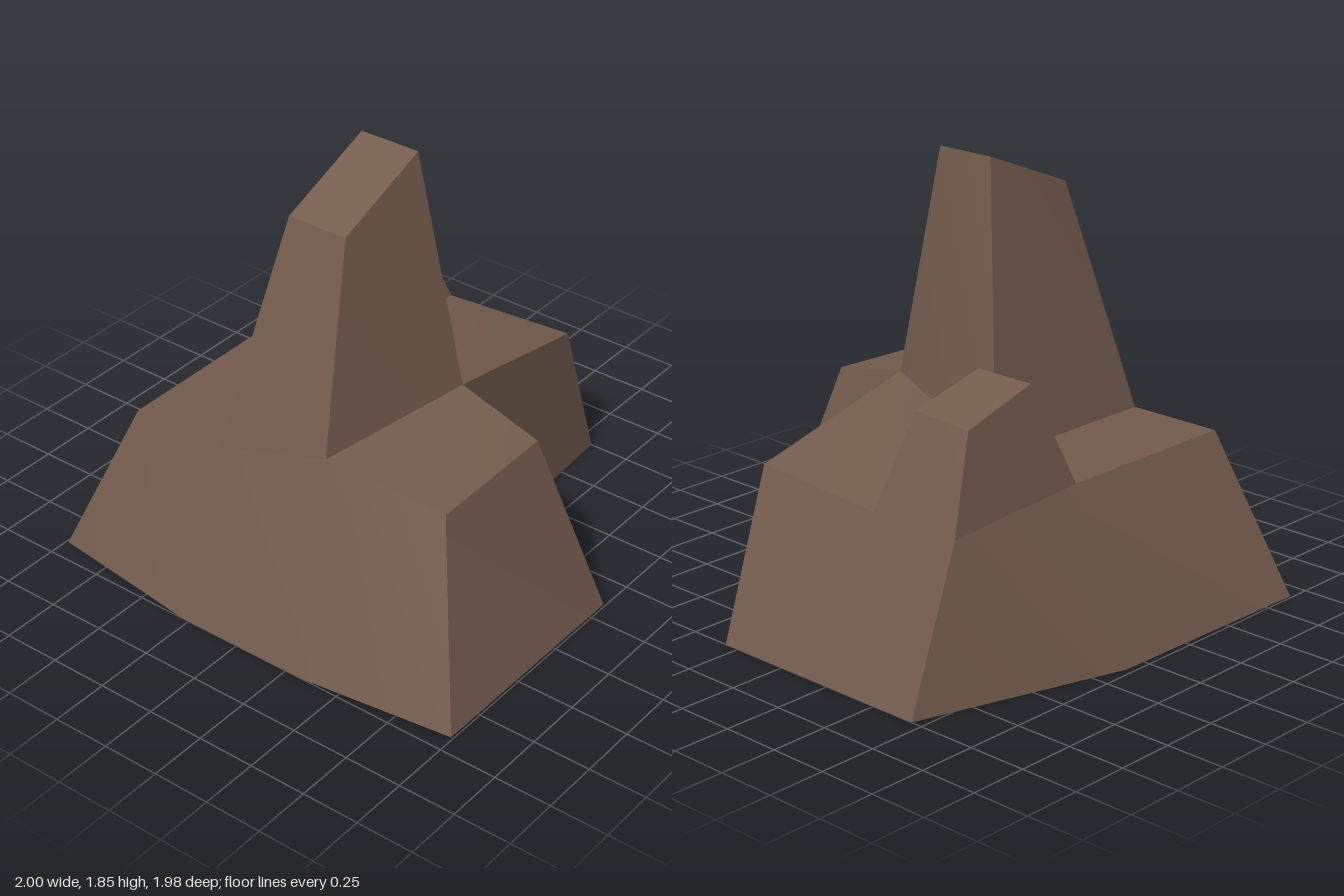
import * as THREE from 'three';
import { toCreasedNormals } from 'three/addons/utils/BufferGeometryUtils.js';

const rock = new THREE.MeshStandardMaterial({ color: 0x745c4e, side: THREE.DoubleSide });
rock.name = 'brown rock';

// Foot of the cliffs, counter-clockwise from the front left corner
const foot = [
  [-0.92, 0, 0.99], [0.10, 0, 0.99], [0.12, 0, 0.37], [1, 0, 0.32], [1, 0, -0.70],
  [0.10, 0, -0.97], [-0.91, 0, -0.99], [-1, 0, -0.28], [-1, 0, 0.33],
];
// Rim of the cliffs, one point above each foot point
const rim = [
  [-0.66, 0.775, 0.76], [-0.07, 0.79, 0.76], [-0.03, 0.87, 0.37], [0.77, 0.69, 0.325], [0.77, 0.65, -0.70],
  [0.10, 0.69, -0.70], [-0.75, 0.69, -0.70], [-0.75, 0.69, -0.28], [-0.735, 0.85, 0.25],
];
const [frontLeft, frontRight, inner, rightFront, rightBack, backMid, backLeft, leftBack, leftFront] = rim;
const middle = [0.10, 0.69, -0.28];
const rightMid = [0.77, 0.65, -0.28];

// Mesh from polygons, each split as a fan from its first corner
function facets(name, polygons) {
  const points = [];
  for (const p of polygons) {
    for (let i = 1; i < p.length - 1; i++) points.push(...p[0], ...p[i], ...p[i + 1]);
  }
  const geometry = new THREE.BufferGeometry();
  geometry.setAttribute('position', new THREE.Float32BufferAttribute(points, 3));
  const mesh = new THREE.Mesh(toCreasedNormals(geometry, 0.4), rock);
  mesh.name = name;
  return mesh;
}

// Ring of side faces between a lower and an upper loop
function sides(lower, upper) {
  return lower.map((p, i) => {
    const j = (i + 1) % lower.length;
    return [lower[j], upper[j], upper[i], p];
  });
}

const spire = (name, base, top) => facets(name, [...sides(base, top), top]);

export function createModel() {
  const group = new THREE.Group();
  group.name = 'rockFormation';

  // Outer cliffs, open underneath; the right one carries an extra rim point
  const walls = sides(foot, rim);
  walls[3] = [foot[3], foot[4], rightBack, rightMid, rightFront];
  group.add(facets('cliffWalls', walls));

  // Ledges around the spires
  group.add(
    facets('frontLedge', [[frontLeft, frontRight, inner, leftFront]]),
    facets('rightLedge', [[inner, rightFront, rightMid, middle]]),
    facets('backLedge', [[backLeft, leftBack, middle, backMid]]),
  );

  // Two tapered spires with sloping tops
  group.add(
    spire('tallSpire', [leftFront, inner, middle, leftBack],
      [[-0.49, 1.67, 0.16], [-0.05, 1.845, 0.16], [-0.05, 1.845, -0.11], [-0.49, 1.67, -0.11]]),
    spire('smallSpire', [middle, rightMid, rightBack, backMid],
      [[0.295, 1.125, -0.37], [0.635, 1.04, -0.37], [0.635, 1.025, -0.64], [0.295, 1.125, -0.64]]),
  );
  return group;
}
